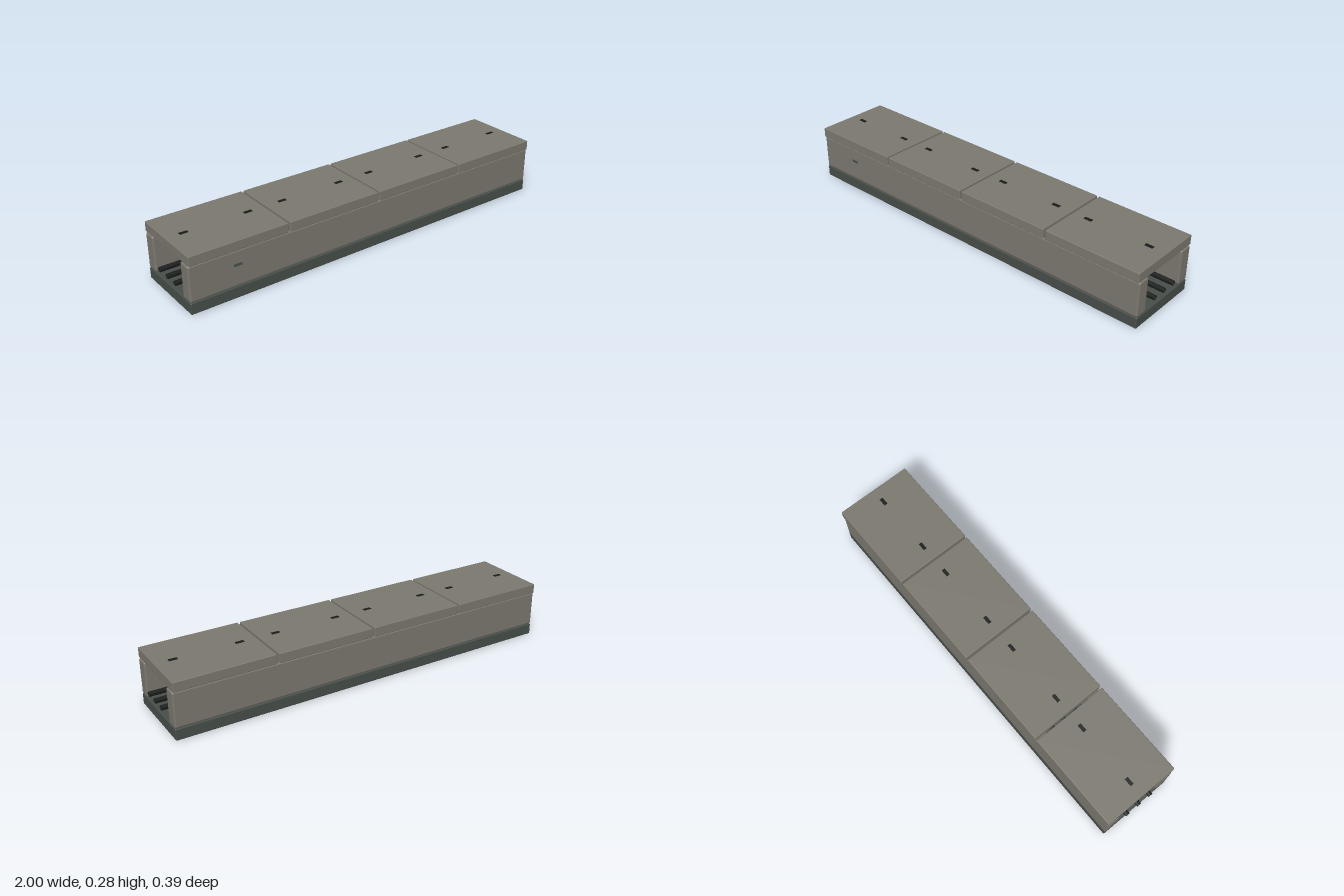
import * as THREE from 'three';
import { RoundedBoxGeometry } from 'three/addons/geometries/RoundedBoxGeometry.js';

export function createModel() {
  const model = new THREE.Group();
  model.name = 'cableTrench';

  const material = (name, color) => {
    const m = new THREE.MeshStandardMaterial({ color });
    m.name = name;
    return m;
  };
  const concrete = material('concrete', 0x7b786f);
  const darkConcrete = material('darkConcrete', 0x474e49);
  const black = material('black', 0x1b1d1d);
  black.side = THREE.DoubleSide;

  const add = (name, geometry, mat, x, y, z) => {
    const mesh = new THREE.Mesh(geometry, mat);
    mesh.name = name;
    mesh.position.set(x, y, z);
    model.add(mesh);
    return mesh;
  };

  // Floor slab
  add('floor', new RoundedBoxGeometry(1.98, 0.057, 0.38, 2, 0.006), darkConcrete, 0, 0.0285, 0);

  // Side walls
  for (const side of [1, -1]) {
    add(side > 0 ? 'frontWall' : 'backWall',
      new RoundedBoxGeometry(1.98, 0.174, 0.065, 2, 0.009), concrete, 0, 0.145, side * 0.1575);
  }

  // Lids with two lifting slots each
  for (let i = 0; i < 4; i++) {
    const x = (i - 1.5) * 0.496;
    add('lid' + (i + 1), new RoundedBoxGeometry(0.485, 0.048, 0.392, 2, 0.004), concrete, x, 0.257, 0);
    for (const dx of [-0.158, 0.158]) {
      add('liftingSlot', new THREE.BoxGeometry(0.04, 0.004, 0.017), black, x + dx, 0.281, 0);
    }
  }

  // Hollow six-sided cables running through the channel
  const cable = new THREE.CylinderGeometry(0.0117, 0.0117, 2, 6, 1, true);
  cable.rotateZ(Math.PI / 2);
  for (const z of [0.075, 0.005, -0.065]) add('cable', cable, black, 0, 0.104, z);

  // Small plate on the front wall
  add('wallPlate', new THREE.BoxGeometry(0.04, 0.012, 0.004), darkConcrete, -0.757, 0.163, 0.1895);

  return model;
}
